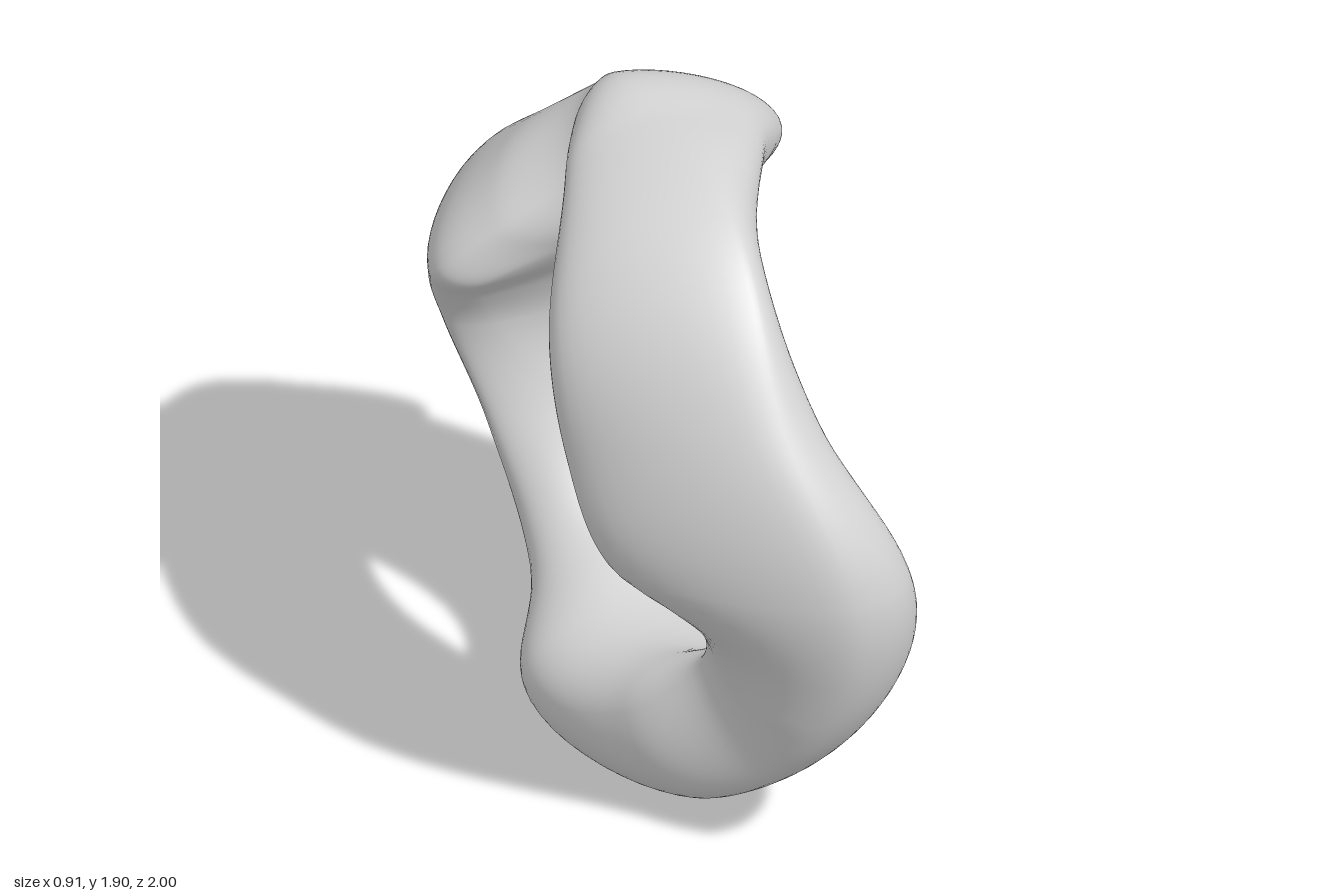
import * as THREE from 'three';

// Sections around the ring: angle (deg, 0 = front, 90 = top), then (radius, x) of the
// section's outermost, right (+x), innermost and left (-x) extreme points.
const SECTIONS = [
  [0, 1.0, 0.19, 0.83, 0.4, 0.565, -0.17, 0.59, -0.34],
  [30, 0.95, 0.05, 0.8, 0.2, 0.52, -0.27, 0.57, -0.42],
  [60, 0.985, 0.05, 0.82, 0.14, 0.545, -0.14, 0.69, -0.42],
  [90, 0.945, 0.0, 0.79, 0.29, 0.6, 0.07, 0.82, -0.26],
  [105, 0.965, -0.02, 0.73, 0.39, 0.58, 0.14, 0.8, -0.17],
  [120, 0.9, -0.01, 0.69, 0.45, 0.54, 0.13, 0.68, -0.09],
  [135, 0.865, -0.08, 0.68, 0.43, 0.5, -0.1, 0.58, -0.31],
  [150, 0.9, -0.13, 0.67, 0.36, 0.47, -0.33, 0.55, -0.45],
  [165, 0.97, -0.13, 0.64, 0.3, 0.51, -0.32, 0.58, -0.44],
  [180, 1.0, -0.13, 0.62, 0.35, 0.55, -0.25, 0.6, -0.39],
  [210, 0.91, 0.03, 0.71, 0.4, 0.57, -0.06, 0.64, -0.28],
  [240, 0.995, 0.06, 0.85, 0.24, 0.6, -0.02, 0.74, -0.23],
  [270, 0.955, -0.12, 0.74, 0.16, 0.59, -0.14, 0.75, -0.37],
  [300, 1.0, -0.04, 0.77, 0.2, 0.61, -0.06, 0.74, -0.22],
  [320, 1.0, 0.1, 0.77, 0.34, 0.61, 0.12, 0.67, -0.06],
  [340, 1.0, 0.2, 0.76, 0.44, 0.595, 0.12, 0.63, -0.11],
];
const CENTRE_Y = 0.96;
const STEPS = 10; // rings between neighbouring sections
const QUARTER = 14; // points per quarter of a section
const ROUNDING = 0.13; // longest handle at a corner, so long faces stay flat

// Section with wrapped index, so the angle keeps growing past a full turn
function sectionAt(i) {
  const n = SECTIONS.length;
  const turn = Math.floor(i / n);
  const row = SECTIONS[i - turn * n].slice();
  row[0] += 360 * turn;
  return row;
}

// Smooth blend between section i and the next one
function blend(i, t) {
  const [a, b, c, d] = [-1, 0, 1, 2].map((k) => sectionAt(i + k));
  // Slopes take the uneven angle spacing into account
  const h = c[0] - b[0];
  const t2 = t * t, t3 = t2 * t;
  return b.map((v, k) => {
    if (k === 0) return v + h * t;
    const m0 = ((c[k] - a[k]) / (c[0] - a[0])) * h;
    const m1 = ((d[k] - b[k]) / (d[0] - b[0])) * h;
    return (2 * t3 - 3 * t2 + 1) * v + (t3 - 2 * t2 + t) * m0 +
      (3 * t2 - 2 * t3) * c[k] + (t3 - t2) * m1;
  });
}

const handle = (d) => Math.sign(d) * Math.min(Math.abs(d) * 0.55, ROUNDING);

// Closed outline through the four extreme points: outer, right, inner, left
function outline([, ...v]) {
  const corners = [0, 2, 4, 6].map((k) => new THREE.Vector2(v[k], v[k + 1]));
  return corners.flatMap((p, q) => {
    const e = corners[(q + 1) % 4];
    const dr = handle(e.x - p.x), dx = handle(e.y - p.y);
    // Outer and inner points leave along x, side points along the radius
    const alongX = q % 2 === 0;
    const p1 = new THREE.Vector2(p.x + (alongX ? 0 : dr), p.y + (alongX ? dx : 0));
    const p2 = new THREE.Vector2(e.x - (alongX ? dr : 0), e.y - (alongX ? 0 : dx));
    return new THREE.CubicBezierCurve(p, p1, p2, e).getPoints(QUARTER).slice(0, QUARTER);
  });
}

function ringGeometry() {
  const rings = SECTIONS.length * STEPS;
  const sides = QUARTER * 4;
  const positions = [];
  const index = [];
  for (let i = 0; i < rings; i++) {
    const row = blend(Math.floor(i / STEPS), (i % STEPS) / STEPS);
    const angle = THREE.MathUtils.degToRad(row[0]);
    for (const { x: r, y: x } of outline(row)) {
      positions.push(x, CENTRE_Y + r * Math.sin(angle), r * Math.cos(angle));
    }
    const next = (i + 1) % rings;
    for (let j = 0; j < sides; j++) {
      const k = (j + 1) % sides;
      const a = i * sides + j, b = i * sides + k;
      const c = next * sides + k, d = next * sides + j;
      index.push(a, b, c, a, c, d);
    }
  }
  const geometry = new THREE.BufferGeometry();
  geometry.setAttribute('position', new THREE.Float32BufferAttribute(positions, 3));
  geometry.setIndex(index);
  geometry.computeVertexNormals();
  return geometry;
}

export function createModel() {
  const group = new THREE.Group();
  group.name = 'twistedRingSculpture';
  const grey = new THREE.MeshStandardMaterial({ color: 0xd4d4d4 });
  grey.name = 'light grey';
  const ring = new THREE.Mesh(ringGeometry(), grey);
  ring.name = 'twistedRing';
  group.add(ring);
  return group;
}
